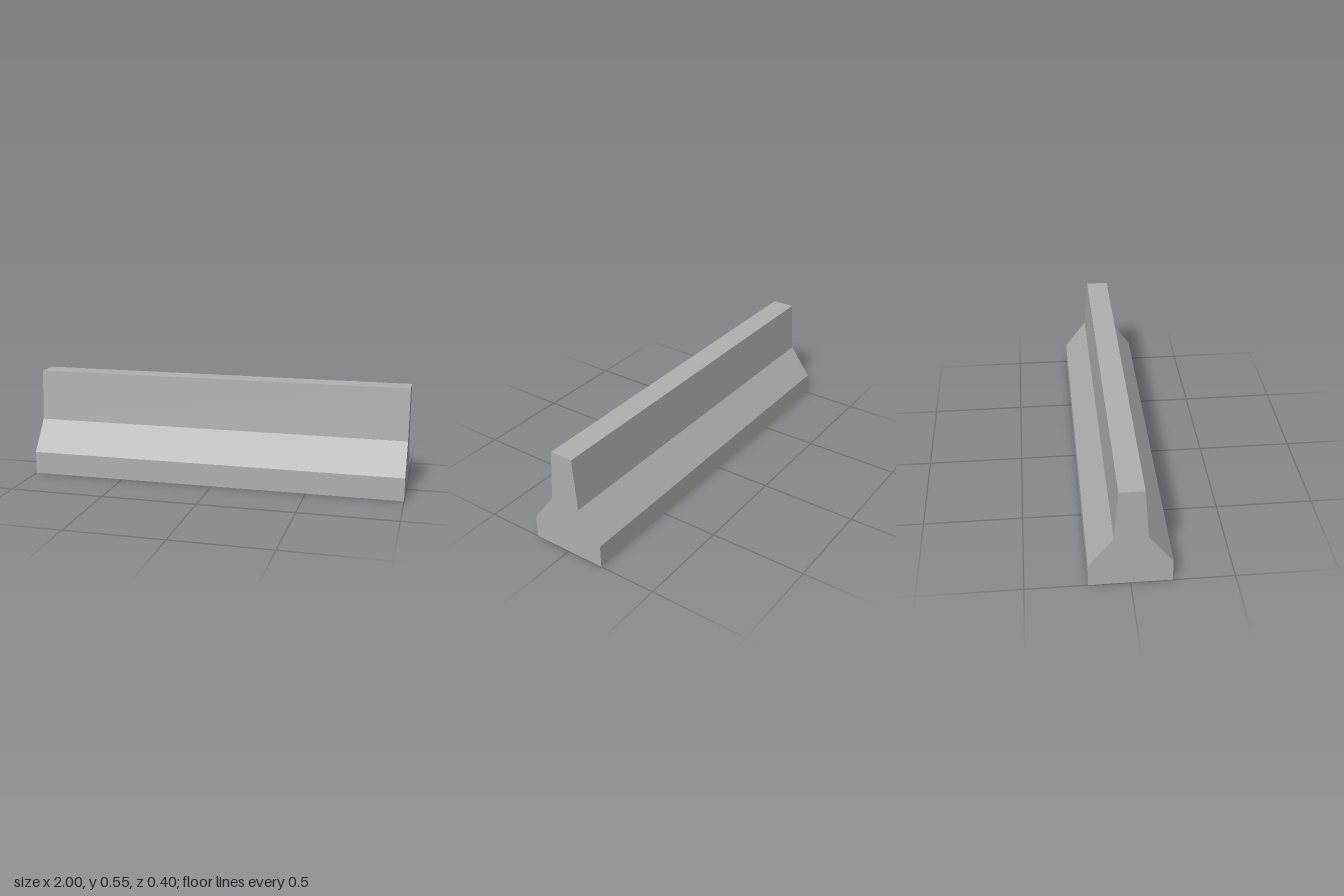
import * as THREE from 'three';

export function createModel() {
  const group = new THREE.Group();
  group.name = 'roadBarrier';

  const concrete = new THREE.MeshStandardMaterial({ color: 0xb0b0b0 });
  concrete.name = 'concreteGrey';

  // Half profile (half width, height) from foot to top, mirrored to the other side
  const half = [[0.2, 0], [0.2, 0.12], [0.08, 0.28], [0.06, 0.55]];
  const mirrored = half.map(([w, y]) => [-w, y]).reverse();
  const profile = new THREE.Shape([...half, ...mirrored].map(([w, y]) => new THREE.Vector2(w, y)));

  // Barrier body: profile extruded along the length
  const length = 2;
  const geometry = new THREE.ExtrudeGeometry(profile, { depth: length, bevelEnabled: false });
  geometry.translate(0, 0, -length / 2);
  geometry.rotateY(Math.PI / 2);

  const body = new THREE.Mesh(geometry, concrete);
  body.name = 'barrierBody';
  group.add(body);
  return group;
}
